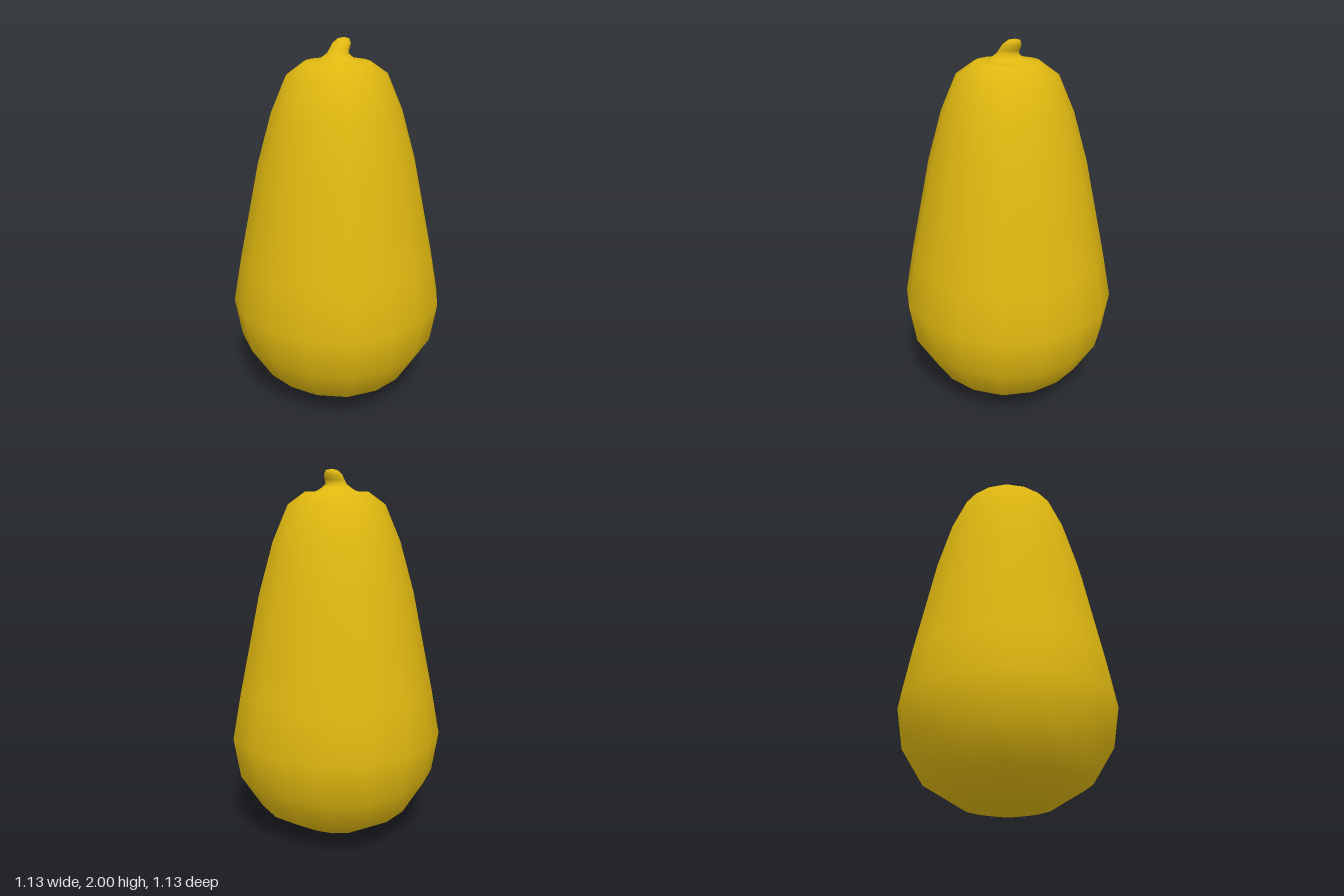
import * as THREE from 'three';
import { mergeVertices } from 'three/addons/utils/BufferGeometryUtils.js';

// Smooth 16-sided turned shape; rule(v) moves each vertex
function turned(name, profile, material, rule) {
  const points = profile.map(([r, y]) => new THREE.Vector2(r, y));
  let geometry = new THREE.LatheGeometry(points, 16);
  const pos = geometry.attributes.position;
  const v = new THREE.Vector3();
  for (let i = 0; i < pos.count; i++) {
    v.fromBufferAttribute(pos, i);
    rule(v);
    pos.setXYZ(i, v.x, v.y, v.z);
  }
  // Weld the seam so the shading runs on around the shape
  geometry.deleteAttribute('uv');
  geometry.deleteAttribute('normal');
  geometry = mergeVertices(geometry, 1e-5);
  geometry.computeVertexNormals();
  const mesh = new THREE.Mesh(geometry, material);
  mesh.name = name;
  return mesh;
}

export function createModel() {
  const group = new THREE.Group();
  group.name = 'squash';
  const skin = new THREE.MeshStandardMaterial({ color: 0xe0b810 });

  // Pear-shaped body with a shallow dip at the top, running on into the stem
  const profile = [
    [0, 0], [0.225, 0.045], [0.415, 0.16], [0.53, 0.35], [0.565, 0.57],
    [0.52, 0.82], [0.465, 1.09], [0.41, 1.36], [0.335, 1.63], [0.255, 1.82],
    [0.17, 1.885], [0.125, 1.883],
    // flared stem foot, stalk and rounded tip
    [0.1, 1.892], [0.075, 1.908], [0.056, 1.925], [0.052, 1.945],
    [0.048, 1.972], [0.03, 1.994], [0, 2],
  ];

  group.add(turned('bodyAndStem', profile, skin, (v) => {
    if (v.y > 1.92) {
      // stalk leans backwards
      v.z -= 0.7 * (v.y - 1.92);
    } else if (v.y < 1.87) {
      // body is a touch fuller on the diagonals
      const swell = 1 + 0.035 * Math.sin(2 * Math.atan2(v.x, v.z)) ** 2;
      v.x *= swell;
      v.z *= swell;
    }
  }));
  return group;
}
